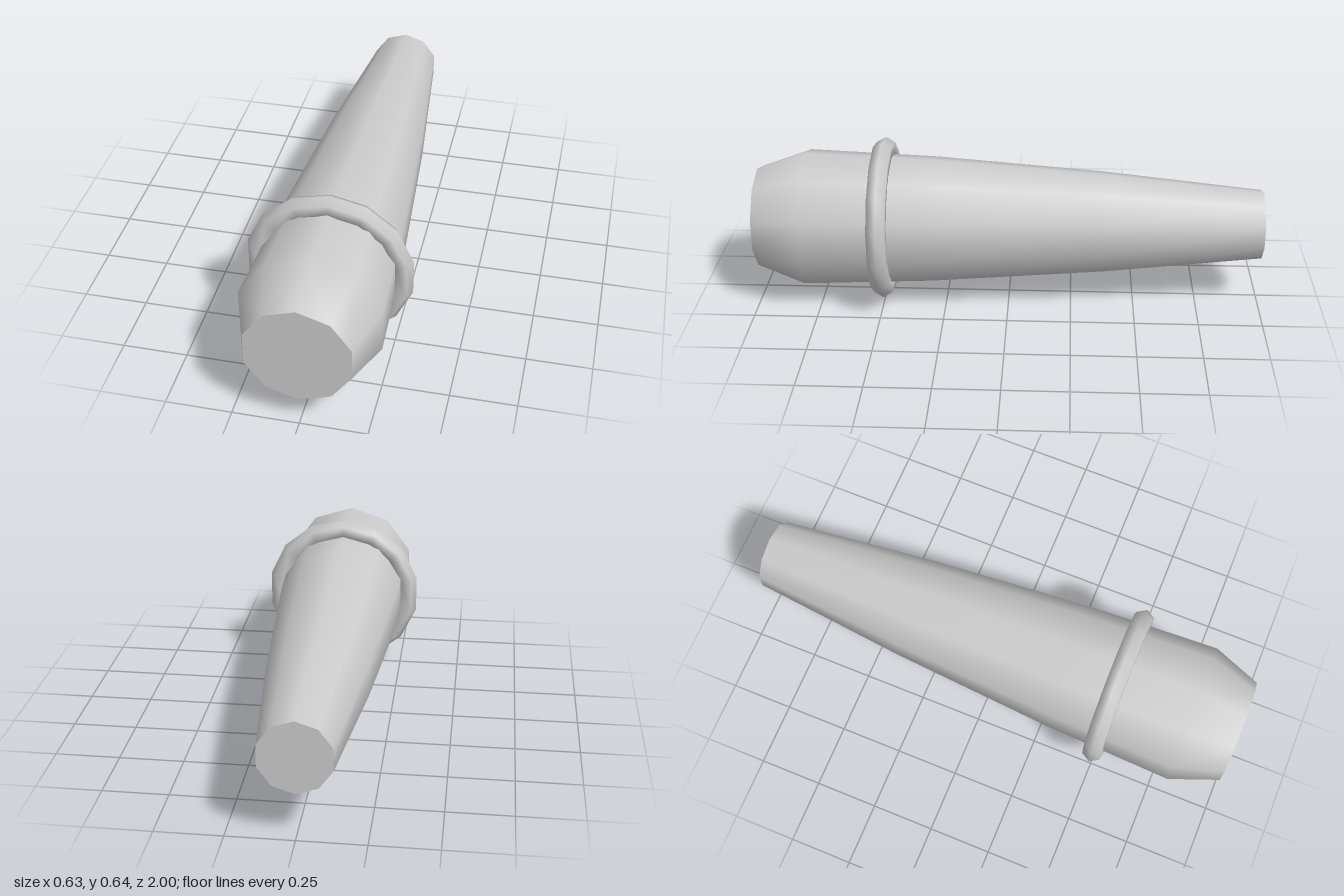
import * as THREE from 'three';

export function createModel() {
  const group = new THREE.Group();
  const grey = new THREE.MeshStandardMaterial({ color: 0xcccccc });
  grey.name = 'light grey';
  const axisY = 0.323;
  const sides = 10;

  function add(name, geometry, z = 0) {
    const mesh = new THREE.Mesh(geometry, grey);
    mesh.name = name;
    mesh.position.set(0, axisY, z);
    group.add(mesh);
    return mesh;
  }

  // Tapered body: radius against z, from the narrow back to the blunt front
  const profile = [[0.138, -1], [0.203, -0.37], [0.253, 0.3], [0.274, 0.81], [0.203, 1]]
    .map(([r, z]) => new THREE.Vector2(r, z));
  add('body', new THREE.LatheGeometry(profile, sides).rotateX(Math.PI / 2));

  // Flat end caps
  add('frontCap', new THREE.CircleGeometry(0.203, sides).rotateZ(Math.PI / 2), 1);
  add('backCap', new THREE.CircleGeometry(0.138, sides).rotateZ(Math.PI / 2).rotateY(Math.PI), -1);

  // Collar ring with a six-sided section
  add('collarRing', new THREE.TorusGeometry(0.28, 0.042, 6, 14).rotateZ(Math.PI / 2), 0.5);

  return group;
}
